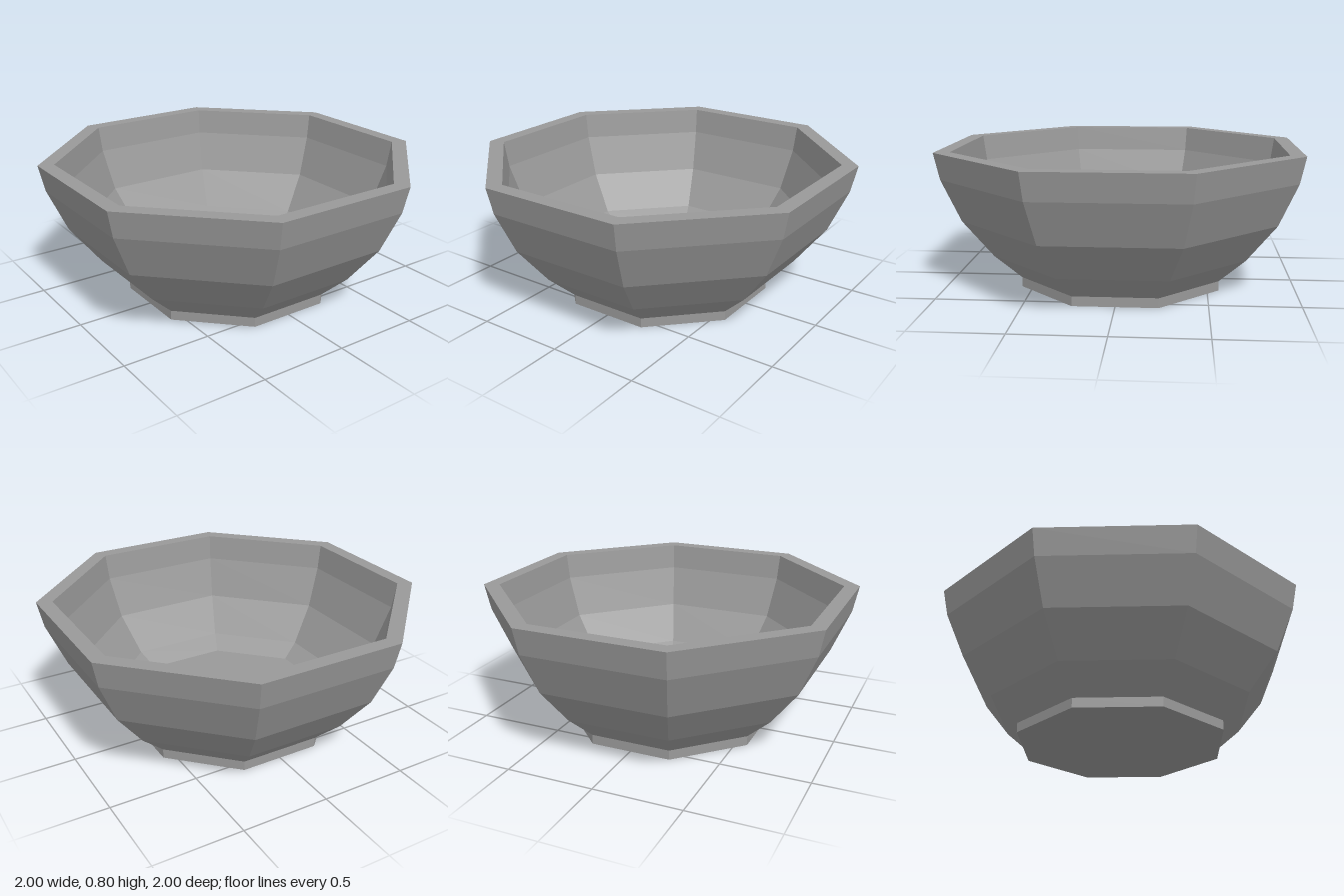
import * as THREE from 'three';

const SIDES = 8;

// Octagonal lathe with flat sides facing the axes; radii are measured to the middle of each side.
function octagonalLathe(name, profile, material) {
  const toCorner = 1 / Math.cos(Math.PI / SIDES);
  const points = profile.map(([r, y]) => new THREE.Vector2(r * toCorner, y));
  const mesh = new THREE.Mesh(new THREE.LatheGeometry(points, SIDES, Math.PI / SIDES), material);
  mesh.name = name;
  return mesh;
}

export function createModel() {
  const model = new THREE.Group();
  model.name = 'bowl';
  const grey = new THREE.MeshStandardMaterial({ color: 0x999999, flatShading: true });
  grey.name = 'grey';

  // Short straight foot with a closed underside
  model.add(octagonalLathe('foot', [[0, 0], [0.565, 0], [0.565, 0.055]], grey));

  // Flaring outer wall, from the foot up to the rim
  model.add(octagonalLathe('outerWall',
    [[0.565, 0.055], [0.71, 0.195], [0.87, 0.41], [0.97, 0.65], [1, 0.8]], grey));

  // Flat rim
  model.add(octagonalLathe('rim', [[1, 0.8], [0.917, 0.8]], grey));

  // Inner wall, from the rim down to the flat floor
  model.add(octagonalLathe('innerWall',
    [[0.917, 0.8], [0.895, 0.65], [0.815, 0.41], [0.67, 0.195], [0.565, 0.12]], grey));
  model.add(octagonalLathe('floor', [[0.565, 0.12], [0, 0.12]], grey));

  return model;
}
